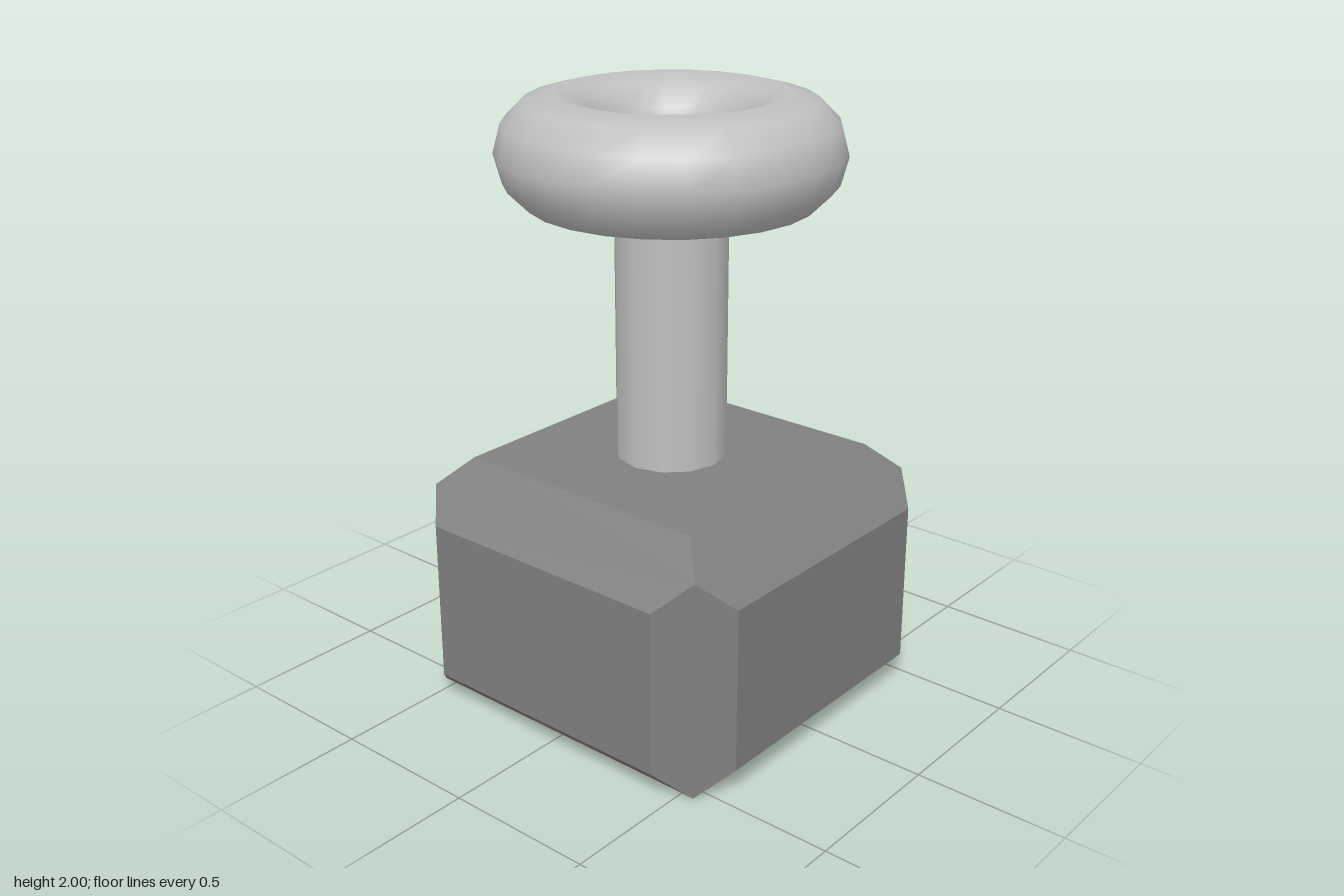
import * as THREE from 'three';
import { ConvexGeometry } from 'three/addons/geometries/ConvexGeometry.js';

export function createModel() {
  const model = new THREE.Group();
  const darkGrey = new THREE.MeshStandardMaterial({ color: 0x808080 });
  darkGrey.name = 'darkGrey';
  const lightGrey = new THREE.MeshStandardMaterial({ color: 0xc0c0c0 });
  lightGrey.name = 'lightGrey';

  const add = (name, geometry, material, y = 0) => {
    const mesh = new THREE.Mesh(geometry, material);
    mesh.name = name;
    mesh.position.y = y;
    model.add(mesh);
  };

  // Chamfered base block: the corners where its bevel planes meet
  const half = 0.636, inner = 0.4545, mid = 0.5455;
  const corners = [];
  for (const sx of [-1, 1]) for (const sz of [-1, 1]) {
    const corner = (x, y, z) => corners.push(new THREE.Vector3(sx * x, y, sz * z));
    corner(mid, 0, mid);
    for (const y of [0.091, 0.636]) {
      corner(half, y, inner);
      corner(inner, y, half);
    }
    corner(mid, 0.727, mid);
    corner(inner, 0.818, inner);
  }
  add('base', new ConvexGeometry(corners), darkGrey);

  // Round shaft ending level with the middle of the ring
  add('shaft', new THREE.CylinderGeometry(0.182, 0.182, 1, 12), lightGrey, 1.318);

  // Ring handle lying flat on top
  add('ring', new THREE.TorusGeometry(0.3636, 0.182, 12, 24).rotateX(-Math.PI / 2), lightGrey, 1.818);

  return model;
}
